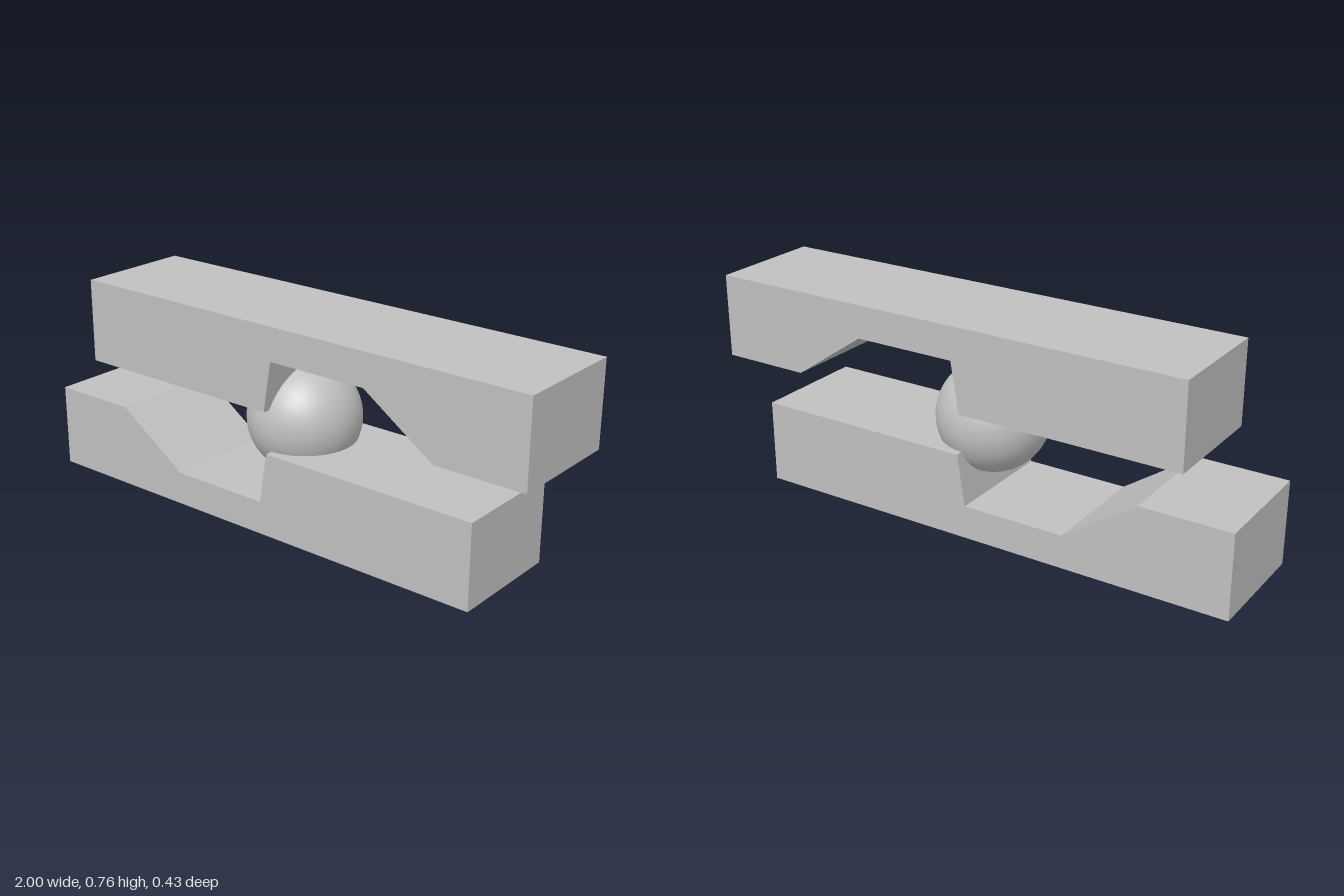
import * as THREE from 'three';

const DEPTH = 0.426;
const MID_Y = 0.378;

export function createModel() {
  const model = new THREE.Group();
  model.name = 'ballBetweenNotchedBars';
  const grey = new THREE.MeshStandardMaterial({ color: 0xc0c0c0 });
  grey.name = 'plain grey';

  // Side profile of a bar with a ramped notch, shared by both bars
  const profile = new THREE.Shape([
    [-1, 0], [0.82, 0], [0.82, 0.304], [0.004, 0.304],
    [-0.026, 0.12], [-0.404, 0.12], [-0.673, 0.304], [-1, 0.304],
  ].map(([x, y]) => new THREE.Vector2(x, y)));
  const barGeometry = new THREE.ExtrudeGeometry(profile, { depth: DEPTH, bevelEnabled: false });
  barGeometry.translate(0, 0, -DEPTH / 2);

  const lowerBar = new THREE.Mesh(barGeometry, grey);
  lowerBar.name = 'lowerBar';

  // The upper bar is the lower one turned half a turn about the middle
  const upperBar = new THREE.Mesh(barGeometry, grey);
  upperBar.name = 'upperBar';
  upperBar.rotation.z = Math.PI;
  upperBar.position.y = 2 * MID_Y;

  // Ball held between the two notches
  const ball = new THREE.Mesh(new THREE.SphereGeometry(0.2, 64, 40), grey);
  ball.name = 'ball';
  ball.position.set(-0.004, MID_Y + 0.001, 0);

  model.add(lowerBar, upperBar, ball);
  return model;
}
